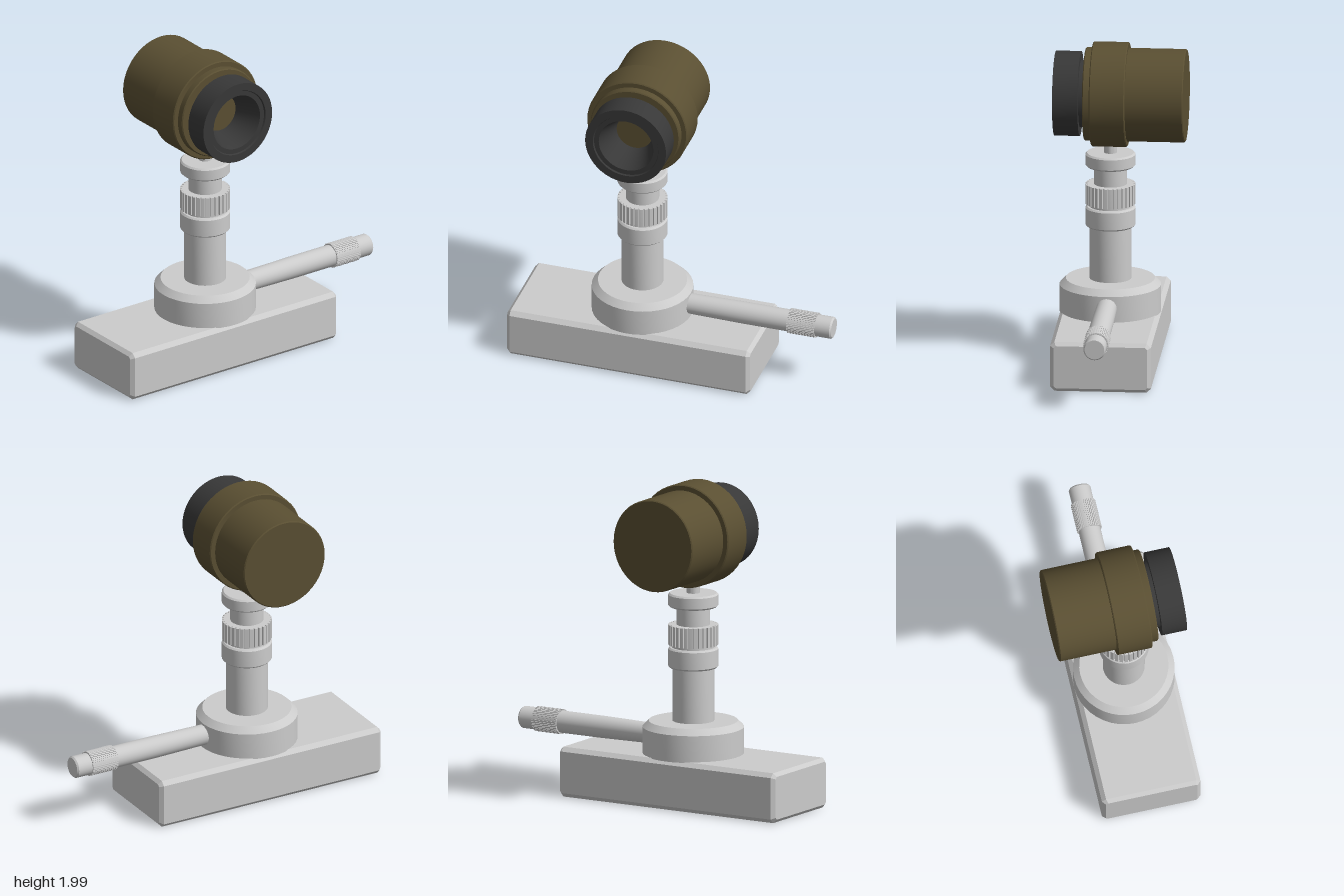
import * as THREE from 'three';
import { toCreasedNormals } from 'three/addons/utils/BufferGeometryUtils.js';

const GREY = new THREE.MeshStandardMaterial({ color: 0xcccccc });
const BRONZE = new THREE.MeshStandardMaterial({ color: 0x5a4f32 });
const BLACK = new THREE.MeshStandardMaterial({ color: 0x383838 });
const AX = 0.063, AZ = 0.225; // column axis
const HEAD_Y = 1.67;

function part(name, geometry, material = GREY) {
  const mesh = new THREE.Mesh(toCreasedNormals(geometry, 0.45), material);
  mesh.name = name;
  return mesh;
}

// Turned solid: [radius, height] pairs listed from bottom to top
function turned(name, profile, material = GREY, segments = 40) {
  const points = profile.map(([r, h]) => new THREE.Vector2(r, h));
  return part(name, new THREE.LatheGeometry(points, segments), material);
}

// Closed cylinder profile with small chamfers at both ends
function collarProfile(r, y0, y1, c) {
  return [[0, y0], [r - c, y0], [r, y0 + c], [r, y1 - c], [r - c, y1], [0, y1]];
}

// Knurled ring standing on y = 0, with narrow grooves between flat teeth
function knurled(name, r, depth, height, teeth) {
  const shape = new THREE.Shape();
  const step = (Math.PI * 2) / teeth;
  for (let i = 0; i < teeth; i++) {
    [[0, r], [0.7, r], [0.75, r - depth], [0.95, r - depth]].forEach(([t, rad], k) => {
      const a = (i + t) * step;
      const x = Math.cos(a) * rad, y = Math.sin(a) * rad;
      if (i + k === 0) shape.moveTo(x, y); else shape.lineTo(x, y);
    });
  }
  shape.closePath();
  const geometry = new THREE.ExtrudeGeometry(shape, { depth: height, bevelEnabled: false });
  geometry.rotateX(-Math.PI / 2);
  return part(name, geometry);
}

// Box with every edge chamfered by c, centred on the origin
function chamferedBox(name, w, h, d, c) {
  const x = w / 2 - c, y = h / 2 - c, k = c * 0.6;
  const shape = new THREE.Shape([
    [x - k, -y], [x, -y + k], [x, y - k], [x - k, y],
    [-x + k, y], [-x, y - k], [-x, -y + k], [-x + k, -y],
  ].map(([px, py]) => new THREE.Vector2(px, py)));
  const geometry = new THREE.ExtrudeGeometry(shape, {
    depth: d - 2 * c, bevelThickness: c, bevelSize: c, bevelSegments: 1,
  });
  geometry.translate(0, 0, c - d / 2);
  return part(name, geometry);
}

function makeColumn() {
  const column = new THREE.Group();
  column.name = 'column';
  column.position.set(AX, 0, AZ);
  column.add(turned('turntable', [[0, 0.305], [0.31, 0.305], [0.31, 0.472], [0.272, 0.51], [0, 0.51]]));
  column.add(turned('post', [[0, 0.5], [0.128, 0.5], [0.128, 0.85], [0, 0.85]]));
  column.add(turned('lowerCollar', collarProfile(0.153, 0.84, 0.966, 0.01)));
  column.add(turned('spacer', [[0, 0.96], [0.13, 0.96], [0.13, 0.99], [0, 0.99]]));
  const ring = knurled('knurledRing', 0.153, 0.012, 0.125, 32);
  ring.position.y = 0.982;
  column.add(ring);
  column.add(turned('upperPost', [[0, 1.1], [0.102, 1.1], [0.102, 1.23], [0, 1.23]]));
  column.add(turned('upperCollar', collarProfile(0.153, 1.218, 1.303, 0.01)));
  column.add(turned('headPin', [[0, 1.295], [0.04, 1.295], [0.04, 1.42], [0, 1.42]], GREY, 24));
  return column;
}

// Side lever; local +y points to the back
function makeLever() {
  const lever = new THREE.Group();
  lever.name = 'lever';
  lever.position.set(AX, 0.396, 0);
  lever.rotation.x = -Math.PI / 2;
  lever.add(turned('leverRod',
    [[0, 0], [0.062, 0], [0.068, 0.42], [0.068, 0.99], [0.06, 1], [0, 1]], GREY, 28));
  const grip = knurled('leverGrip', 0.077, 0.005, 0.177, 40);
  grip.position.y = 0.718;
  lever.add(grip);
  return lever;
}

// Camera head; local +y points along world +x
function makeHead() {
  const head = new THREE.Group();
  head.name = 'head';
  head.position.set(0, HEAD_Y, AZ);
  head.rotation.z = -Math.PI / 2;
  head.add(turned('barrel', collarProfile(0.285, -0.4, 0.216, 0.006), BRONZE, 48));
  head.add(turned('barrelBand', collarProfile(0.32, -0.046, 0.172, 0.006), BRONZE, 48));
  // Hollow eyepiece with a stepped rim and a tapering bore
  head.add(turned('eyepiece', [
    [0.115, 0.212], [0.205, 0.212], [0.205, 0.245], [0.259, 0.245], [0.259, 0.4],
    [0.21, 0.4], [0.205, 0.39], [0.175, 0.39], [0.115, 0.225], [0.115, 0.212],
  ], BLACK, 48));
  head.add(turned('lens', [[0, 0.21], [0.117, 0.21], [0.117, 0.22], [0, 0.22]], BRONZE, 48));
  return head;
}

export function createModel() {
  const model = new THREE.Group();
  model.name = 'cameraOnStand';
  const base = chamferedBox('base', 0.616, 0.31, 1.555, 0.022);
  base.position.set(AX, 0.155, 0.2225);
  model.add(base, makeColumn(), makeLever(), makeHead());
  return model;
}
